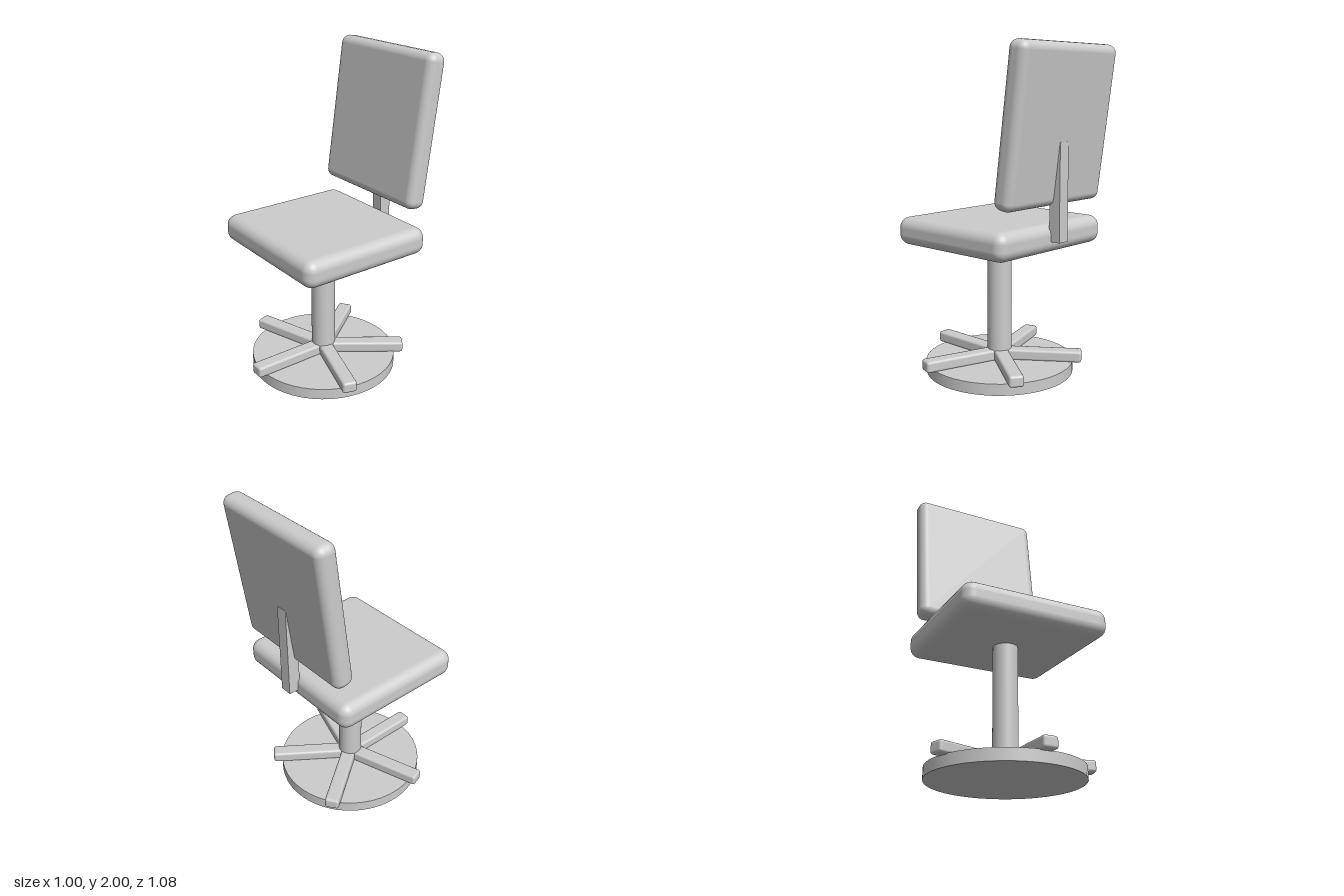
import * as THREE from 'three';
import { RoundedBoxGeometry } from 'three/addons/geometries/RoundedBoxGeometry.js';

export function createModel() {
  const chair = new THREE.Group();
  chair.name = 'swivelChair';
  const grey = new THREE.MeshStandardMaterial({ color: 0xcccccc });
  grey.name = 'light grey';

  const AXIS_Z = 0.025; // the pedestal axis sits slightly forward
  const add = (name, geometry, x, y, z, parent = chair) => {
    const mesh = new THREE.Mesh(geometry, grey);
    mesh.name = name;
    mesh.position.set(x, y, z);
    parent.add(mesh);
    return mesh;
  };

  // Pedestal: floor disc and column
  add('baseDisc', new THREE.CylinderGeometry(0.46, 0.46, 0.07, 48), 0, 0.035, AXIS_Z);
  add('column', new THREE.CylinderGeometry(0.075, 0.075, 0.76, 32), 0, 0.45, AXIS_Z);

  // Five radial feet, the first pointing forward
  const feet = new THREE.Group();
  feet.name = 'feet';
  feet.position.set(0, 0.1, AXIS_Z);
  chair.add(feet);
  const footLength = 0.515;
  const footGeometry = new RoundedBoxGeometry(0.09, 0.07, footLength, 3, 0.016);
  footGeometry.translate(0, 0, footLength / 2);
  for (let i = 0; i < 5; i++) {
    add('foot' + (i + 1), footGeometry, 0, 0, 0, feet).rotation.y = (i * Math.PI * 2) / 5;
  }

  // Cushions
  add('seat', new RoundedBoxGeometry(0.92, 0.17, 0.875, 5, 0.065), 0, 0.89, 0.0225);
  const back = add('backrest', new RoundedBoxGeometry(0.84, 0.923, 0.13, 5, 0.05), 0, 1.543, -0.42);
  back.rotation.x = -0.133;

  // Upright bar joining seat and backrest
  add('backSupport', new THREE.BoxGeometry(0.075, 0.575, 0.075), 0, 1.1625, -0.4375);

  return chair;
}
